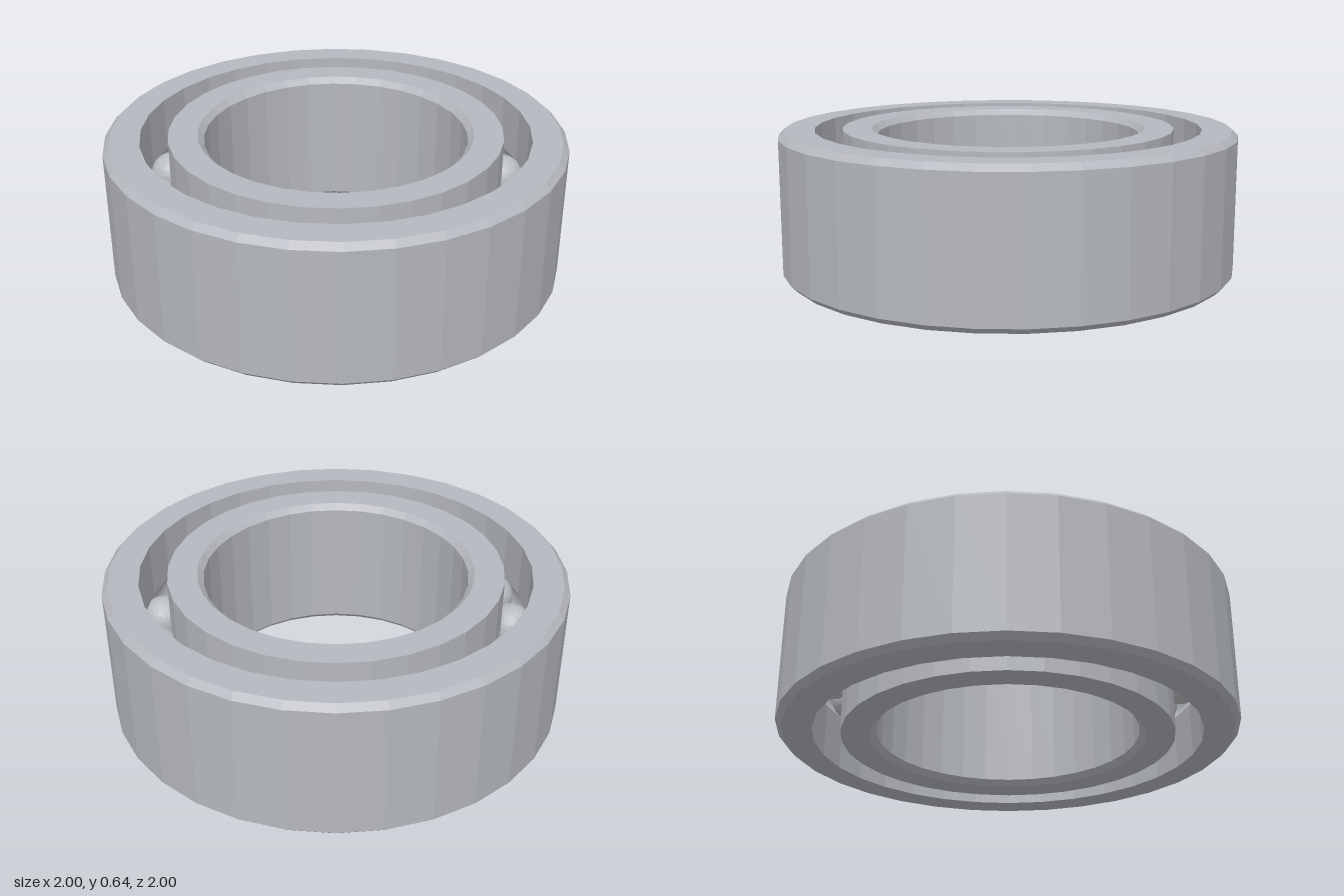
import * as THREE from 'three';

const HEIGHT = 0.636;
const MID = HEIGHT / 2;
const PITCH = 0.785; // radius of the circle the balls run on
const BALL = 0.095;
const GAP = 0.06; // half the gap between the rings
const CHAMFER = 0.026;
const BALL_COUNT = 19;

// Points of a raceway groove, listed from bottom to top; side is +1 outward, -1 inward
function groove(side) {
  const r = BALL + 0.002;
  const half = Math.acos(GAP / r);
  const points = [];
  for (let i = 0; i <= 8; i++) {
    const a = -half + (2 * half * i) / 8;
    points.push([PITCH + side * r * Math.cos(a), MID + r * Math.sin(a)]);
  }
  return points;
}

// Closed ring turned from a counterclockwise [radius, height] profile
function ring(name, profile, material) {
  const points = [...profile, profile[0]].map(([r, y]) => new THREE.Vector2(r, y));
  const mesh = new THREE.Mesh(new THREE.LatheGeometry(points, 32), material);
  mesh.name = name;
  return mesh;
}

export function createModel() {
  const model = new THREE.Group();
  model.name = 'ballBearing';

  const ringSteel = new THREE.MeshStandardMaterial({ color: 0xb5b8be, flatShading: true });
  ringSteel.name = 'ring steel';
  const ballSteel = new THREE.MeshStandardMaterial({ color: 0xb9bcc0, flatShading: true });
  ballSteel.name = 'ball steel';

  // Outer ring: chamfered outer edges, groove on its inside
  const outerWall = PITCH + GAP;
  model.add(ring('outerRing', [
    [outerWall, 0],
    [1 - CHAMFER, 0],
    [1, CHAMFER],
    [1, HEIGHT - CHAMFER],
    [1 - CHAMFER, HEIGHT],
    [outerWall, HEIGHT],
    ...groove(1).reverse(),
  ], ringSteel));

  // Inner ring: chamfered bore, groove on its outside
  const innerWall = PITCH - GAP;
  const bore = 0.572;
  model.add(ring('innerRing', [
    [bore + CHAMFER, 0],
    [innerWall, 0],
    ...groove(-1),
    [innerWall, HEIGHT],
    [bore + CHAMFER, HEIGHT],
    [bore, HEIGHT - CHAMFER],
    [bore, CHAMFER],
  ], ringSteel));

  // Balls, each with a vertex pointing up
  const ballGeometry = new THREE.IcosahedronGeometry(BALL, 3);
  ballGeometry.rotateZ(Math.atan(2 / (1 + Math.sqrt(5))));
  const balls = new THREE.Group();
  balls.name = 'balls';
  for (let i = 0; i < BALL_COUNT; i++) {
    const a = (i / BALL_COUNT) * Math.PI * 2;
    const ball = new THREE.Mesh(ballGeometry, ballSteel);
    ball.name = 'ball' + (i + 1);
    ball.position.set(PITCH * Math.cos(a), MID, PITCH * Math.sin(a));
    ball.rotation.y = -a;
    balls.add(ball);
  }
  model.add(balls);

  return model;
}
